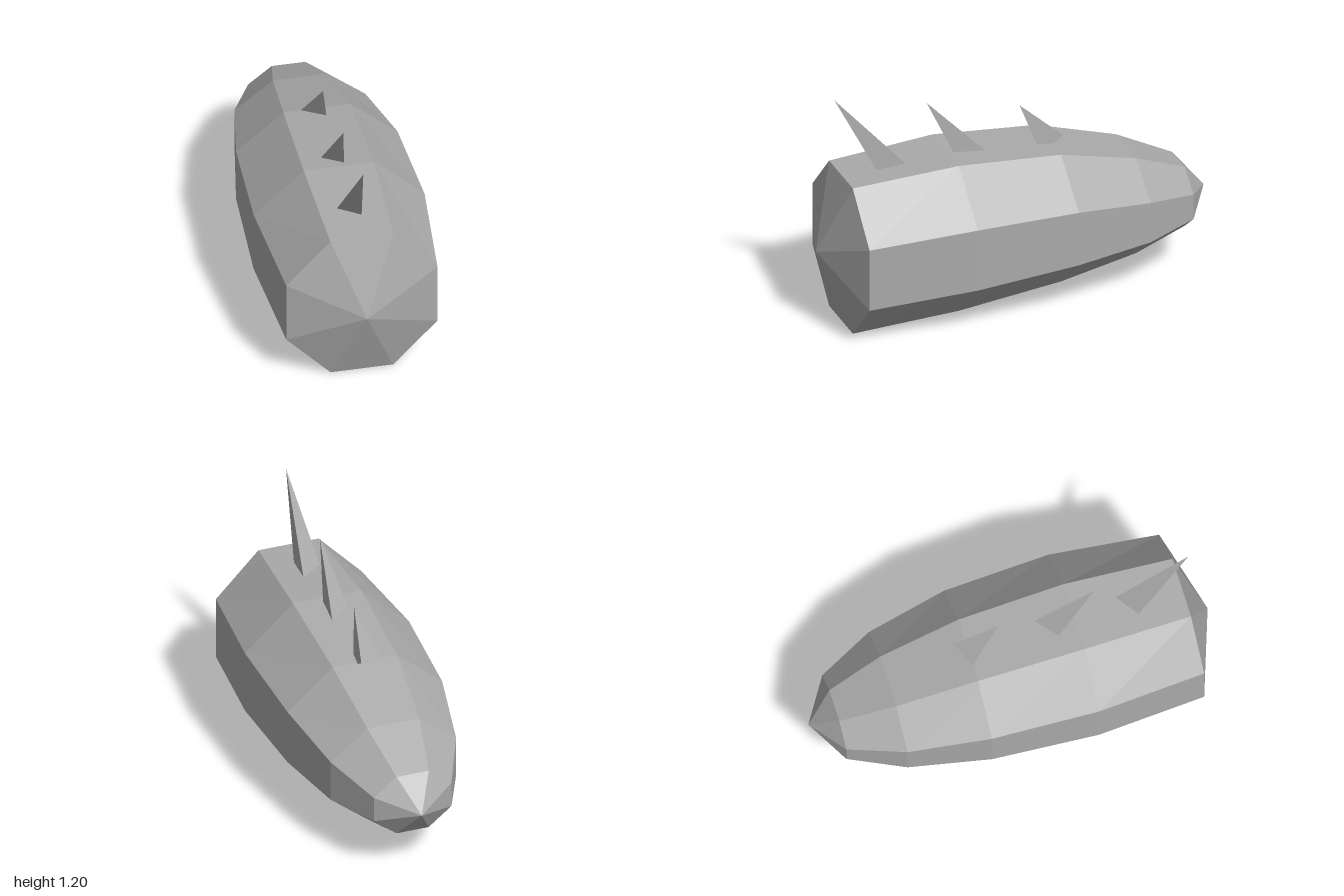
import * as THREE from 'three';

const SIDES = 8;

// Body cross-sections from front to back: z, centre height, half width, half height
const RINGS = [
  [0.87, 0.396, 0.37, 0.394],
  [0.33, 0.423, 0.418, 0.393],
  [-0.2, 0.424, 0.395, 0.344],
  [-0.6, 0.397, 0.32, 0.257],
  [-0.87, 0.37, 0.198, 0.16],
];

// Back spikes: base z, length
const SPIKES = [[0.605, 0.53], [0.203, 0.4], [-0.203, 0.27]];

// Octagonal hull with a flat top and a pointed cap at each end
function bodyGeometry() {
  const points = [];
  const faces = [];
  const scale = 1 / Math.cos(Math.PI / SIDES);
  for (const [z, y, rx, ry] of RINGS) {
    for (let k = 0; k < SIDES; k++) {
      const a = ((k + 0.5) / SIDES) * Math.PI * 2;
      points.push(Math.cos(a) * rx * scale, y + Math.sin(a) * ry * scale, z);
    }
  }
  const front = RINGS.length * SIDES;
  const back = front + 1;
  points.push(0, 0.397, 1, 0, 0.37, -1);

  const last = (RINGS.length - 1) * SIDES;
  for (let k = 0; k < SIDES; k++) {
    const n = (k + 1) % SIDES;
    faces.push(front, k, n, back, last + n, last + k);
    for (let r = 0; r < last; r += SIDES) {
      const s = r + SIDES;
      faces.push(r + k, s + k, s + n, r + k, s + n, r + n);
    }
  }
  const indexed = new THREE.BufferGeometry();
  indexed.setAttribute('position', new THREE.Float32BufferAttribute(points, 3));
  indexed.setIndex(faces);
  const geometry = indexed.toNonIndexed();
  geometry.computeVertexNormals();
  return geometry;
}

// Three-sided spike leaning towards the front
function spikeGeometry(length) {
  const geometry = new THREE.ConeGeometry(0.08, length, 3, 1, false, -Math.PI / 2).toNonIndexed();
  geometry.translate(0, length / 2, 0);
  geometry.rotateX(0.6);
  geometry.computeVertexNormals();
  return geometry;
}

export function createModel() {
  const grey = new THREE.MeshStandardMaterial({ color: 0xaaaaaa });
  grey.name = 'grey';
  grey.flatShading = true;

  const model = new THREE.Group();
  model.name = 'spikedBody';

  const body = new THREE.Mesh(bodyGeometry(), grey);
  body.name = 'body';
  model.add(body);

  SPIKES.forEach(([z, length], i) => {
    const spike = new THREE.Mesh(spikeGeometry(length), grey);
    spike.name = `spike${i + 1}`;
    spike.position.set(0, 0.762, z);
    model.add(spike);
  });
  return model;
}
